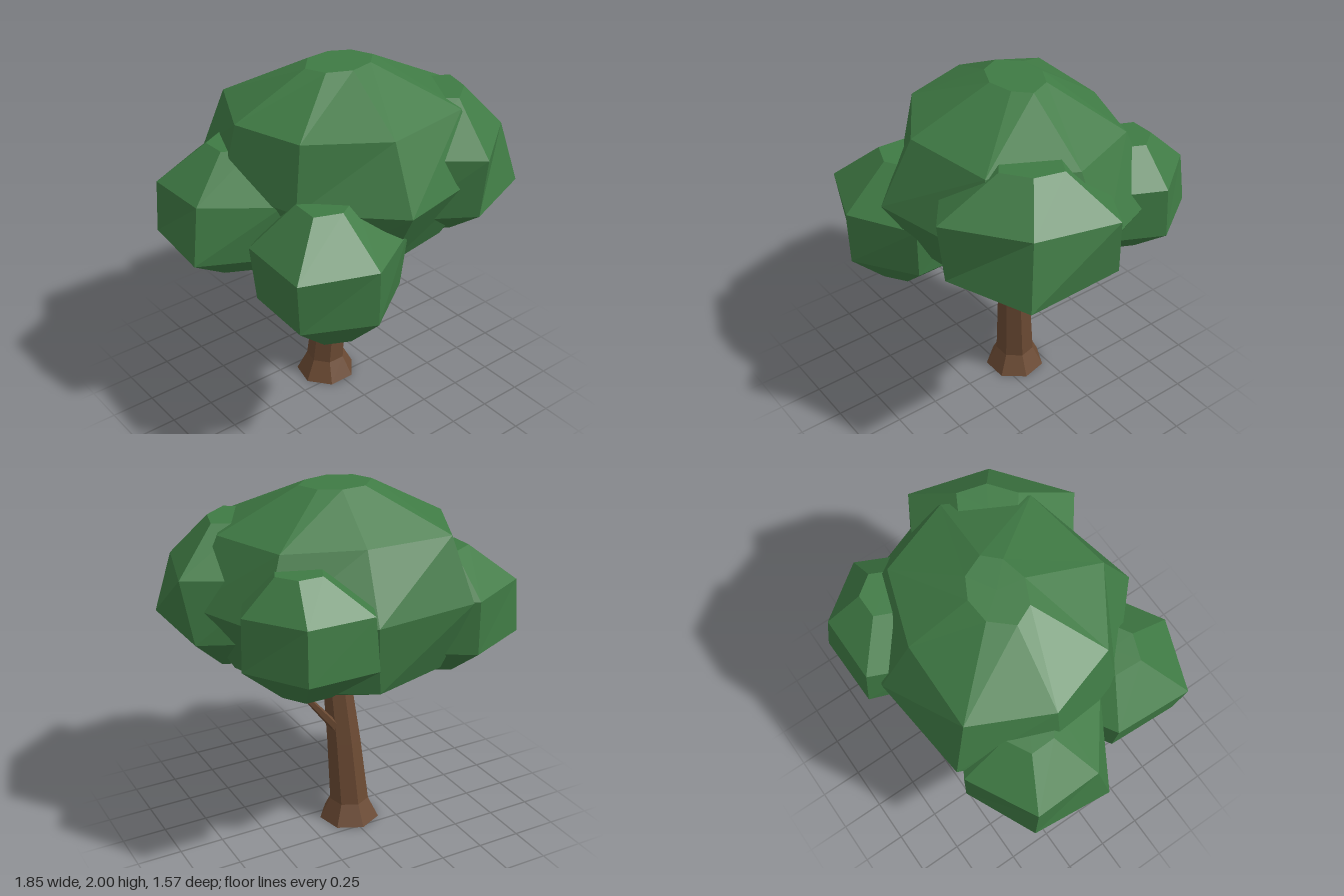
import * as THREE from 'three';

const leaf = new THREE.MeshStandardMaterial({ color: 0x3f7a44 });
leaf.name = 'leaf green';
const bark = new THREE.MeshStandardMaterial({ color: 0x6b4a33 });
bark.name = 'bark brown';

// Faceted skin over stacked rings [y, [[x, z], ...]], ordered bottom to top and closed at both ends
function loft(name, material, levels) {
  const rings = levels.map(([y, pts]) => pts.map(([x, z]) => new THREE.Vector3(x, y, z)));
  const out = [];
  const tri = (...corners) => corners.forEach((p) => out.push(p.x, p.y, p.z));
  const n = rings[0].length;
  const middle = (ring) => ring.reduce((s, p) => s.add(p), new THREE.Vector3()).divideScalar(n);
  const first = rings[0], last = rings[rings.length - 1];
  const low = middle(first), high = middle(last);
  for (let i = 0; i < n; i++) {
    const j = (i + 1) % n;
    for (let k = 0; k < rings.length - 1; k++) {
      const a = rings[k], b = rings[k + 1];
      tri(a[i], a[j], b[j]);
      tri(a[i], b[j], b[i]);
    }
    tri(low, first[j], first[i]);
    tri(high, last[i], last[j]);
  }
  const geo = new THREE.BufferGeometry();
  geo.setAttribute('position', new THREE.Float32BufferAttribute(out, 3));
  geo.computeVertexNormals();
  const mesh = new THREE.Mesh(geo, material);
  mesh.name = name;
  return mesh;
}

// Regular polygon ring, starting from the front
function circle(n, x, z, r, turn = 0) {
  return Array.from({ length: n }, (_, i) => {
    const t = turn + (i / n) * Math.PI * 2;
    return [x + Math.sin(t) * r, z + Math.cos(t) * r];
  });
}

// Ring shrunk towards a new centre, used for the small end caps
function shrink(ring, [cx, cz], [nx, nz], s) {
  return ring.map(([x, z]) => [nx + (x - cx) * s, nz + (z - cz) * s]);
}

// Leaf clump: two wide rings with a small cap above and below
function clump(name, c, ys, lower, upper, top, bottom) {
  return loft(name, leaf, [
    [ys[0], shrink(lower, c, bottom, 0.36)],
    [ys[1], lower],
    [ys[2], upper],
    [ys[3], shrink(upper, c, top, 0.36)],
  ]);
}

// Tapered twig between two points
function twig(name, a, b, r0, r1) {
  const from = new THREE.Vector3(...a), to = new THREE.Vector3(...b);
  const dir = to.clone().sub(from);
  const geo = new THREE.CylinderGeometry(r1, r0, dir.length(), 5).toNonIndexed();
  geo.computeVertexNormals();
  const mesh = new THREE.Mesh(geo, bark);
  mesh.position.copy(from).add(to).multiplyScalar(0.5);
  mesh.quaternion.setFromUnitVectors(new THREE.Vector3(0, 1, 0), dir.normalize());
  mesh.name = name;
  return mesh;
}

export function createModel() {
  const tree = new THREE.Group();
  tree.name = 'tree';

  // Leaning trunk with a flared foot
  const turn = Math.PI / 7;
  tree.add(loft('trunk', bark, [
    [0, circle(7, -0.015, -0.1, 0.174, turn)],
    [0.12, circle(7, -0.015, -0.1, 0.113, turn)],
    [0.5, circle(7, 0.007, -0.075, 0.097, turn)],
    [1.0, circle(7, 0.045, -0.035, 0.075, turn)],
  ]));
  tree.add(twig('leftTwig', [0.05, 0.57, -0.09], [0.28, 0.85, -0.17], 0.03, 0.018));
  tree.add(twig('rightTwig', [0.02, 0.66, -0.05], [-0.18, 0.89, 0.05], 0.034, 0.022));

  // Main crown
  tree.add(loft('crown', leaf, [
    [0.845, circle(8, 0.05, -0.06, 0.15, -0.15)],
    [1.04, [[-0.02, 0.47], [0.4, 0.4], [0.62, 0.02], [0.5, -0.4], [0.1, -0.63], [-0.35, -0.5], [-0.5, -0.12], [-0.36, 0.2]]],
    [1.435, [[-0.09, 0.71], [0.55, 0.57], [0.86, 0.02], [0.67, -0.48], [0.15, -0.7], [-0.45, -0.64], [-0.65, -0.14], [-0.51, 0.31]]],
    [1.785, [[-0.06, 0.53], [0.46, 0.45], [0.68, 0.04], [0.53, -0.38], [0.12, -0.52], [-0.37, -0.53], [-0.57, -0.12], [-0.45, 0.27]]],
    [2, [[0.02, 0.1], [0.16, 0.07], [0.24, -0.01], [0.19, -0.13], [0.08, -0.19], [-0.06, -0.18], [-0.16, -0.07], [-0.11, 0.04]]],
  ]));

  // Side clumps
  tree.add(clump('leftFrontClump', [0.47, 0.22], [1.03, 1.255, 1.6, 1.82],
    [[0.42, 0.67], [0.88, 0.49], [0.87, -0.07], [0.5, -0.24], [0.1, 0], [0.08, 0.45]],
    [[0.42, 0.71], [0.8, 0.42], [0.92, -0.02], [0.5, -0.25], [0.1, 0], [0.08, 0.45]],
    [0.51, 0.22], [0.51, 0.22]));
  tree.add(clump('leftBackClump', [0.43, -0.46], [1.06, 1.25, 1.53, 1.71],
    [[0.25, -0.15], [0.63, -0.15], [0.79, -0.47], [0.585, -0.785], [0.19, -0.78], [0.07, -0.46]],
    [[0.25, -0.15], [0.63, -0.15], [0.78, -0.46], [0.57, -0.75], [0.2, -0.75], [0.07, -0.46]],
    [0.47, -0.46], [0.44, -0.46]));
  tree.add(clump('rightBackClump', [-0.51, -0.21], [0.93, 1.13, 1.43, 1.63],
    [[-0.52, 0.2], [-0.15, 0], [-0.15, -0.42], [-0.5, -0.63], [-0.88, -0.455], [-0.925, -0.01]],
    [[-0.52, 0.2], [-0.15, 0], [-0.15, -0.42], [-0.5, -0.63], [-0.87, -0.435], [-0.86, -0.06]],
    [-0.5, -0.23], [-0.52, -0.21]));
  tree.add(clump('rightFrontClump', [-0.37, 0.38], [0.745, 0.955, 1.265, 1.49],
    [[-0.35, 0.775], [-0.02, 0.55], [-0.02, 0.17], [-0.37, 0], [-0.69, 0.2], [-0.71, 0.6]],
    [[-0.35, 0.78], [0.01, 0.57], [0, 0.17], [-0.37, -0.02], [-0.72, 0.19], [-0.745, 0.63]],
    [-0.38, 0.37], [-0.37, 0.43]));

  return tree;
}
